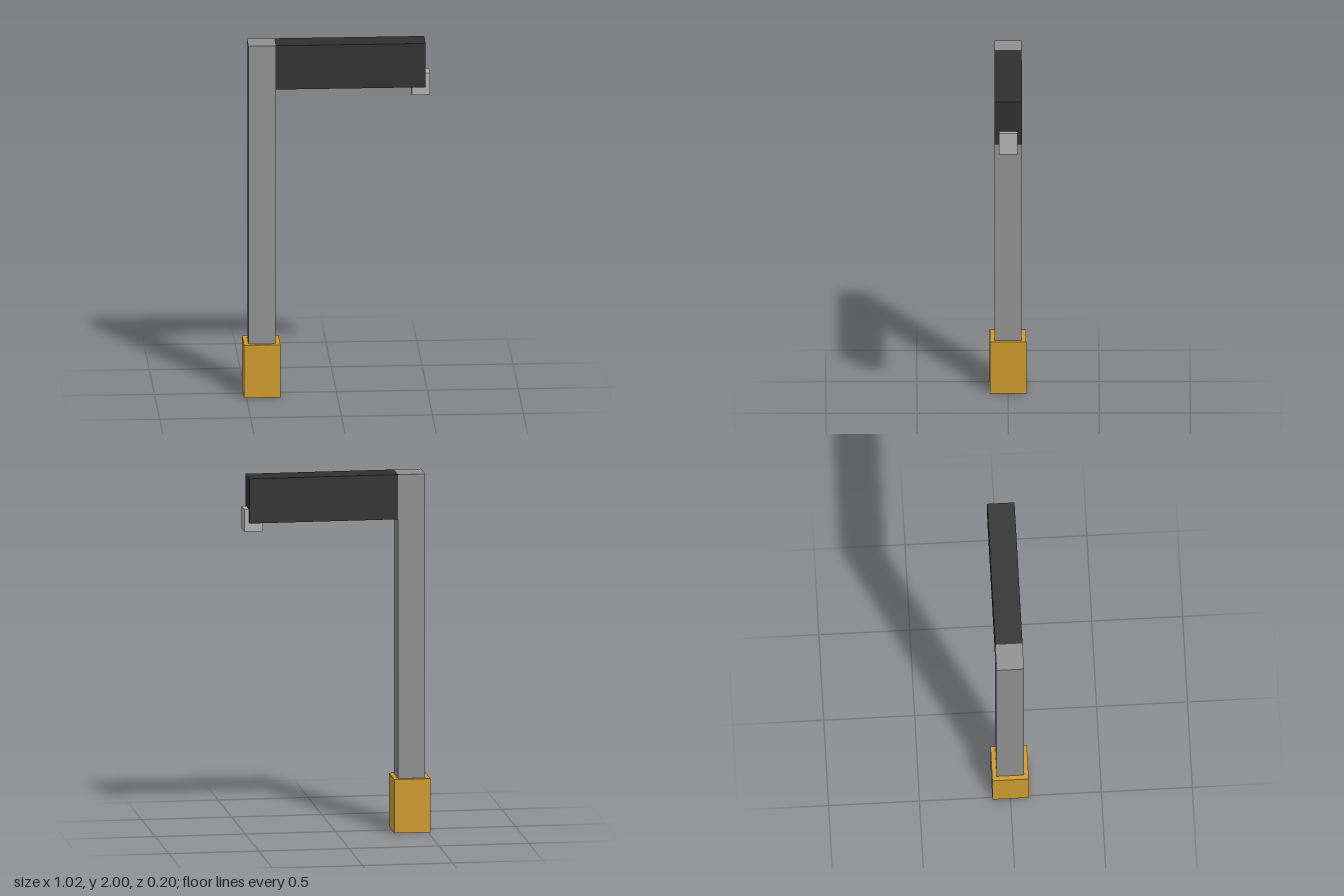
import * as THREE from 'three';

export function createModel() {
  const group = new THREE.Group();

  // Adds a box given its size, centre x and z = 0, and the height of its underside
  const addBox = (name, color, [w, h, d], x, bottom) => {
    const mesh = new THREE.Mesh(
      new THREE.BoxGeometry(w, h, d),
      new THREE.MeshStandardMaterial({ color })
    );
    mesh.name = name;
    mesh.position.set(x, bottom + h / 2, 0);
    group.add(mesh);
  };

  const postX = -0.4125;

  // Square base block and the upright standing in it
  addBox('base', 0xcc9b2a, [0.2, 0.3, 0.2], postX, 0);
  addBox('post', 0x909090, [0.15, 1.7, 0.15], postX, 0.3);

  // Horizontal arm, flush with the top of the post
  addBox('arm', 0x303030, [0.825, 0.25, 0.15], 0.075, 1.75);

  // Small block set into the lower end of the arm
  addBox('tipBlock', 0xb2b2b2, [0.1, 0.125, 0.1], 0.4625, 1.7);

  return group;
}
